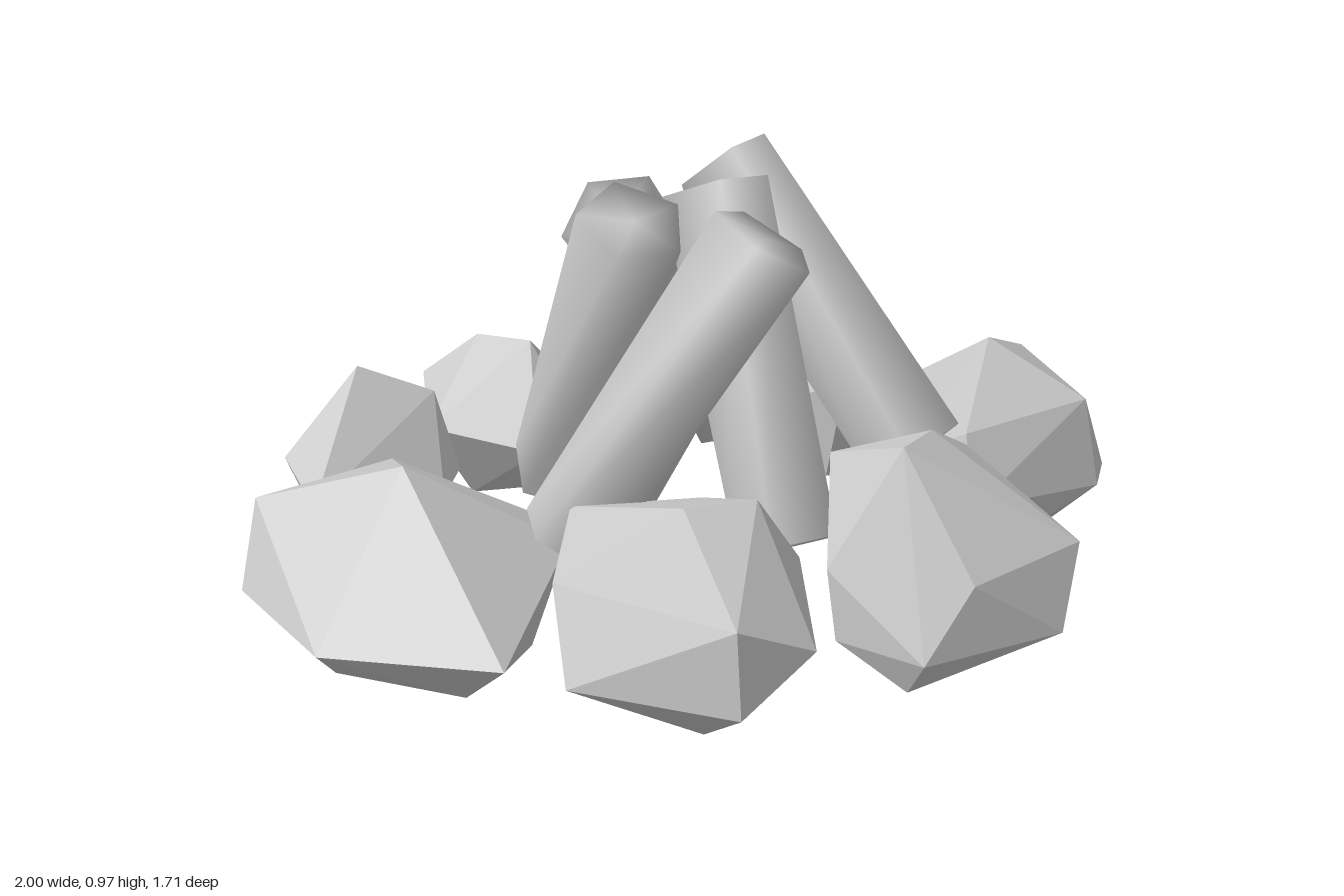
import * as THREE from 'three';
import { ConvexGeometry } from 'three/addons/geometries/ConvexGeometry.js';
import { mergeVertices } from 'three/addons/utils/BufferGeometryUtils.js';

const stoneMaterial = new THREE.MeshStandardMaterial({ color: 0xcccccc, flatShading: true });
const logMaterial = new THREE.MeshStandardMaterial({ color: 0xcccccc });

// Faceted boulder: the hull of a few corner points
function stone(name, corners) {
  const points = corners.map((c) => new THREE.Vector3(...c));
  const mesh = new THREE.Mesh(new ConvexGeometry(points), stoneMaterial);
  mesh.name = name;
  return mesh;
}

// Five-sided, slightly twisted log with soft shading, from its foot to its upper end
function log(name, foot, top, roll = 0) {
  const a = new THREE.Vector3(...foot);
  const b = new THREE.Vector3(...top);
  const dir = b.clone().sub(a);
  let geometry = new THREE.CylinderGeometry(0.12, 0.12, dir.length(), 5, 1, false, roll);
  geometry.deleteAttribute('normal');
  geometry.deleteAttribute('uv');
  geometry = mergeVertices(geometry, 1e-4);

  // Turn the upper ring against the lower one
  const position = geometry.attributes.position;
  const yAxis = new THREE.Vector3(0, 1, 0);
  const v = new THREE.Vector3();
  for (let i = 0; i < position.count; i++) {
    v.fromBufferAttribute(position, i);
    if (v.y > 0) v.applyAxisAngle(yAxis, Math.PI / 6);
    position.setXYZ(i, v.x, v.y, v.z);
  }
  geometry.computeVertexNormals();

  const mesh = new THREE.Mesh(geometry, logMaterial);
  mesh.position.copy(a).add(b).multiplyScalar(0.5);
  mesh.quaternion.setFromUnitVectors(yAxis, dir.normalize());
  mesh.name = name;
  return mesh;
}

export function createModel() {
  const model = new THREE.Group();
  model.name = 'campfire';

  // Ring of stones
  const ring = new THREE.Group();
  ring.name = 'stoneRing';
  ring.add(
    stone('rightStone', [
      [-0.7, 0.43, -0.03], [-0.94, 0.33, -0.25], [-1, 0.15, -0.2], [-0.98, 0.13, 0.14],
      [-0.7, 0.15, 0.43], [-0.92, 0.25, -0.31], [-0.6, 0.33, -0.31], [-0.31, 0.2, -0.1],
      [-0.36, 0.22, 0.05], [-0.9, 0.04, 0.05], [-0.45, 0, 0.05], [-0.5, 0.03, -0.2], [-0.7, 0.02, 0.25],
    ]),
    stone('frontRightStone', [
      [-0.41, 0.52, 0.64], [-0.25, 0.51, 0.65], [-0.41, 0.34, 0.85], [-0.4, 0.15, 0.85],
      [-0.22, 0.25, 0.83], [-0.63, 0.15, 0.56], [-0.6, 0.33, 0.45], [-0.06, 0.15, 0.55],
      [-0.05, 0.28, 0.48], [-0.37, 0.03, 0.65], [-0.42, 0.36, 0.18], [-0.15, 0.35, 0.25], [-0.35, 0.06, 0.3],
    ]),
    stone('frontLeftStone', [
      [0.12, 0.53, 0.6], [0.28, 0.49, 0.46], [0.18, 0.28, 0.78], [0.47, 0.3, 0.73],
      [0.05, 0.06, 0.74], [0.05, 0.14, 0.8], [0.4, 0.13, 0.78], [0.54, 0.15, 0.43],
      [0.42, 0.03, 0.62], [0.44, 0.04, 0.35], [0.48, 0.36, 0.29], [0.15, 0.4, 0.27],
      [-0.07, 0.31, 0.62], [-0.06, 0.16, 0.64], [0.1, 0.05, 0.4],
    ]),
    stone('leftStone', [
      [0.73, 0.47, 0], [0.91, 0.38, -0.13], [0.88, 0.35, 0.17], [1, 0.14, 0.08],
      [0.96, 0.2, -0.17], [0.73, 0.3, -0.28], [0.87, 0.17, 0.24], [0.46, 0.24, 0.36],
      [0.5, 0.37, 0.26], [0.5, 0.25, 0.04], [0.84, 0.04, 0.1], [0.7, 0.01, 0.03],
      [0.52, 0.08, 0.29], [0.8, 0.06, -0.22],
    ]),
    stone('backLeftStone', [
      [0.56, 0.5, -0.45], [0.46, 0.47, -0.45], [0.45, 0.35, -0.16], [0.38, 0.25, -0.4],
      [0.48, 0.3, -0.55], [0.72, 0.2, -0.58], [0.76, 0.2, -0.31], [0.74, 0.31, -0.41],
      [0.69, 0.02, -0.32], [0.66, 0.05, -0.48], [0.46, 0.1, -0.25], [0.46, 0.06, -0.42],
    ]),
    stone('longBackStone', [
      [0.41, 0.43, -0.71], [0.22, 0.37, -0.81], [-0.02, 0.22, -0.8], [0.26, 0.2, -0.85],
      [0.67, 0.28, -0.78], [0.66, 0.3, -0.63], [0.48, 0.27, -0.55], [0.05, 0.25, -0.7],
      [0.66, 0.14, -0.77], [0.55, 0.08, -0.62], [0.2, 0.07, -0.76], [0.17, 0.12, -0.65], [0.02, 0.14, -0.8],
    ]),
    stone('backStone', [
      [-0.14, 0.44, -0.56], [-0.2, 0.42, -0.71], [-0.37, 0.25, -0.62], [-0.28, 0.3, -0.84],
      [-0.15, 0.22, -0.86], [0.05, 0.25, -0.72], [-0.05, 0.2, -0.45], [-0.19, 0.22, -0.43],
      [-0.25, 0.06, -0.65], [-0.12, 0.06, -0.75], [-0.08, 0.08, -0.55],
    ]),
    stone('backRightStone', [
      [-0.57, 0.46, -0.55], [-0.4, 0.38, -0.52], [-0.81, 0.28, -0.25], [-0.77, 0.3, -0.5],
      [-0.56, 0.28, -0.76], [-0.38, 0.3, -0.68], [-0.36, 0.2, -0.48], [-0.46, 0.2, -0.35],
      [-0.7, 0.08, -0.4], [-0.5, 0.07, -0.64], [-0.42, 0.09, -0.5],
    ]),
  );

  // Logs leaning inwards
  const logs = new THREE.Group();
  logs.name = 'logs';
  logs.add(
    log('backLog', [0.32, 0.24, -0.45], [-0.13, 0.84, -0.17]),
    log('leftLog', [0.45, 0.3, 0.15], [0.21, 0.87, -0.31], 0.63),
    log('frontRightLog', [-0.39, 0.25, 0.12], [-0.03, 0.91, 0.3]),
    log('frontLog', [0.02, 0.24, 0.34], [0.03, 0.92, -0.02], 0.38),
    log('rightLog', [-0.2, 0.23, -0.29], [-0.21, 0.91, 0.07]),
  );

  model.add(ring, logs);
  return model;
}
